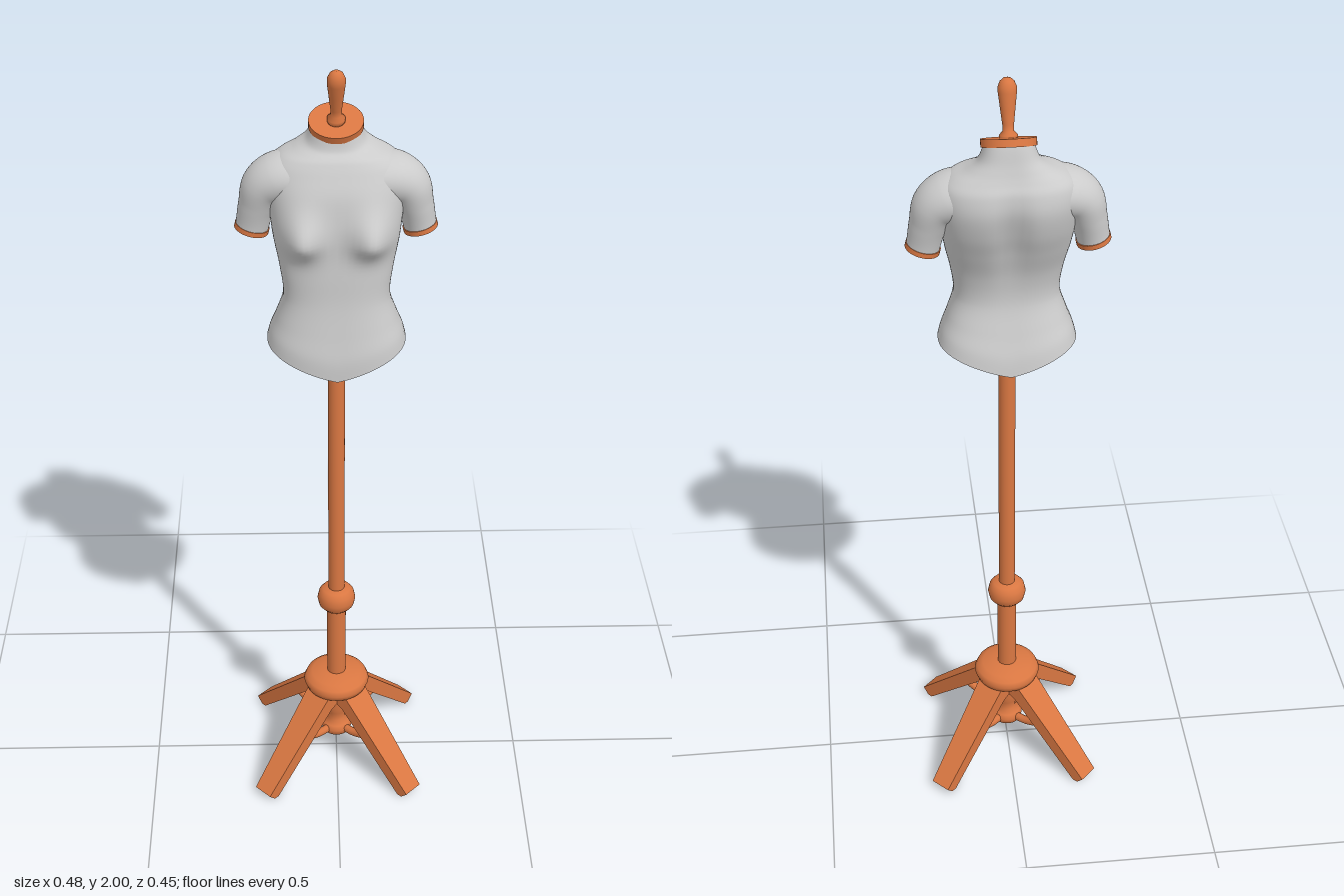
import * as THREE from 'three';

const WOOD = new THREE.MeshStandardMaterial({ color: 0xd97742 });
const CLOTH = new THREE.MeshStandardMaterial({ color: 0xcccccc });
const SEG = 72;

function add(parent, name, geometry, material) {
  const mesh = new THREE.Mesh(geometry, material);
  mesh.name = name;
  parent.add(mesh);
  return mesh;
}

// Smooth skin over a list of closed rings, all with the same number of points
function loft(rings) {
  const n = rings[0].length, index = [];
  for (let j = 0; j < rings.length - 1; j++) {
    for (let i = 0; i < n; i++) {
      const a = j * n + i, b = j * n + (i + 1) % n;
      index.push(a, a + n, b, b, a + n, b + n);
    }
  }
  const geometry = new THREE.BufferGeometry().setFromPoints(rings.flat());
  geometry.setIndex(index);
  geometry.computeVertexNormals();
  return geometry;
}

const ring = (fn) => Array.from({ length: SEG }, (_, i) => fn((i / SEG) * Math.PI * 2));
const lathe = (pts, seg = 32) => new THREE.LatheGeometry(pts.map((p) => new THREE.Vector2(...p)), seg);
const bell = (v, width) => Math.exp(-((v / width) ** 2));
const power = (v, e) => Math.sign(v) * Math.abs(v) ** e;

// Torso sections: height, half width, front z, back z
const BOTTOM = 1.272;
const SECTIONS = [
  [BOTTOM, 0.166, 0.121, -0.114], [1.32, 0.158, 0.119, -0.106], [1.38, 0.143, 0.108, -0.088],
  [1.46, 0.126, 0.095, -0.068], [1.53, 0.133, 0.09, -0.075], [1.6, 0.147, 0.084, -0.102],
  [1.66, 0.155, 0.08, -0.127], [1.72, 0.16, 0.07, -0.14], [1.765, 0.154, 0.05, -0.134],
  [1.79, 0.132, 0.036, -0.121], [1.807, 0.097, 0.025, -0.11], [1.825, 0.07, 0.015, -0.1],
  [1.855, 0.057, 0.008, -0.089],
];

// Hem dips to a point in the middle and rises at the hips
const hemY = (x, z) => BOTTOM + 0.055 * (Math.abs(x) / 0.165) ** 1.15 + 0.06 * (0.12 - z);

function torsoRings() {
  const curves = [1, 2, 3].map((k) => new THREE.SplineCurve(SECTIONS.map((s) => new THREE.Vector2(s[0], s[k]))));
  const rings = [];
  for (let j = 0; j <= 72; j++) {
    const [w, f, b] = curves.map((c) => c.getPoint(j / 72));
    const row = w.x, mid = (f.y + b.y) / 2, depth = (f.y - b.y) / 2;
    rings.push(ring((t) => {
      const x = w.y * power(Math.cos(t), 0.8);
      let z = mid + depth * power(Math.sin(t), 0.8), y = row;
      if (z > mid) {
        // bust
        const side = Math.min(1, (z - mid) / 0.04);
        z += side * 0.047 * bell(Math.abs(x) - 0.083, 0.046) * bell(row - 1.622, row < 1.622 ? 0.04 : 0.062);
      } else {
        // spine groove
        z += 0.02 * bell(x, 0.035) * bell(row - 1.66, 0.11);
      }
      // lower rows follow the hem, upper rows tilt with the neck
      if (row < 1.46) y = THREE.MathUtils.lerp(hemY(x, z), 1.46, (row - BOTTOM) / (1.46 - BOTTOM));
      y -= 0.42 * (z + 0.04) * THREE.MathUtils.smoothstep(row, 1.79, 1.85);
      return new THREE.Vector3(x, y, z);
    }));
  }
  return rings;
}

function addTorso(model) {
  const rings = torsoRings();
  add(model, 'torso', loft(rings), CLOTH);
  // underside, from the centre out to the hem
  const under = [0.001, 0.15, 0.3, 0.45, 0.6, 0.75, 0.9, 1].map((k) =>
    rings[0].map((p) => new THREE.Vector3(p.x * k, hemY(p.x * k, p.z * k), p.z * k)));
  add(model, 'torsoUnderside', loft(under), CLOTH);
}

// Short upper arm with a wooden end plate; s is +1 for left, -1 for right
function addArm(model, s) {
  const arm = new THREE.Group();
  arm.name = s > 0 ? 'leftArm' : 'rightArm';
  model.add(arm);
  const path = new THREE.CatmullRomCurve3([[0.09, 1.738], [0.135, 1.73], [0.165, 1.71], [0.183, 1.665], [0.196, 1.61]]
    .map(([x, y]) => new THREE.Vector3(x, y, -0.034)));
  const radii = new THREE.SplineCurve([[0.058, 0.078], [0.059, 0.073], [0.054, 0.064], [0.044, 0.052], [0.039, 0.042]]
    .map((r) => new THREE.Vector2(...r)));
  const rings = [];
  for (let j = 0; j <= 28; j++) {
    const c = path.getPoint(j / 28), d = path.getTangent(j / 28), r = radii.getPoint(j / 28);
    rings.push(ring((t) => new THREE.Vector3(
      s * (c.x - d.y * r.x * Math.cos(t)), c.y + d.x * r.x * Math.cos(t), c.z + r.y * Math.sin(t))));
  }
  if (s > 0) rings.reverse();
  add(arm, 'upperArm', loft(rings), CLOTH);
  const plate = add(arm, 'armPlate', new THREE.CylinderGeometry(1, 1, 0.012, 40), WOOD);
  plate.scale.set(0.041, 1, 0.044);
  plate.position.set(s * 0.1965, 1.606, -0.034);
  plate.rotation.z = s * 0.25;
}

function addNeck(model) {
  const collar = add(model, 'neckPlate', new THREE.CylinderGeometry(1, 1, 0.018, 48), WOOD);
  collar.scale.set(0.063, 1, 0.057);
  collar.position.set(0, 1.861, -0.039);
  collar.rotation.x = 0.4;
  const handle = add(model, 'neckHandle', lathe([
    [0, 0], [0.021, 0], [0.021, 0.012], [0.013, 0.02], [0.013, 0.035], [0.017, 0.07], [0.021, 0.105],
    [0.021, 0.118], [0.016, 0.13], [0.008, 0.137], [0, 0.138]]), WOOD);
  handle.position.set(0, 1.864, -0.036);
  handle.rotation.x = 0.25;
}

function addStand(model) {
  const stand = new THREE.Group();
  stand.name = 'stand';
  model.add(stand);
  const rod = (name, r, y0, y1) => {
    add(stand, name, new THREE.CylinderGeometry(r, r, y1 - y0, 32), WOOD).position.y = (y0 + y1) / 2;
  };
  rod('upperPole', 0.021, 0.53, 1.28);
  rod('lowerPole', 0.025, 0.15, 0.53);
  rod('topSocket', 0.05, 1.263, 1.292);
  add(stand, 'poleKnob', lathe([[0.024, 0.497], [0.036, 0.5], [0.046, 0.512], [0.05, 0.53], [0.046, 0.549],
    [0.036, 0.561], [0.02, 0.565]]), WOOD);
  add(stand, 'legHub', lathe([[0, 0.222], [0.068, 0.224], [0.082, 0.234], [0.088, 0.25], [0.082, 0.264],
    [0.066, 0.273], [0.04, 0.279], [0.024, 0.281]], 40), WOOD);
  add(stand, 'lowerFinial', lathe([[0, 0.056], [0.025, 0.06], [0.039, 0.07], [0.042, 0.085], [0.036, 0.098],
    [0.022, 0.108], [0.026, 0.135], [0.034, 0.16], [0.036, 0.225]]), WOOD);

  // tapered splayed leg, profile in radius and height
  const profile = new THREE.Shape([[0.03, 0.255], [0.03, 0.205], [0.06, 0.19], [0.258, 0], [0.272, 0], [0.289, 0.018],
    [0.05, 0.257]].map((p) => new THREE.Vector2(...p)));
  const legGeometry = new THREE.ExtrudeGeometry(profile, { depth: 1, bevelEnabled: false }).translate(0, 0, -0.5);
  const pos = legGeometry.attributes.position;
  for (let i = 0; i < pos.count; i++) pos.setZ(i, pos.getZ(i) * (0.055 + 0.1 * (0.289 - pos.getX(i))));
  legGeometry.computeVertexNormals();

  // curved brace from the finial to a leg
  const brace = new THREE.TubeGeometry(new THREE.CatmullRomCurve3([[0.02, 0.082], [0.07, 0.088], [0.115, 0.105],
    [0.16, 0.115]].map(([r, y]) => new THREE.Vector3(r, y, 0))), 16, 0.011, 10);
  for (let k = 0; k < 4; k++) {
    const angle = Math.PI / 4 + (k * Math.PI) / 2;
    add(stand, 'leg', legGeometry, WOOD).rotation.y = angle;
    add(stand, 'legBrace', brace, WOOD).rotation.y = angle;
  }
}

export function createModel() {
  const model = new THREE.Group();
  model.name = 'dressForm';
  addTorso(model);
  addArm(model, 1);
  addArm(model, -1);
  addNeck(model);
  addStand(model);
  return model;
}
